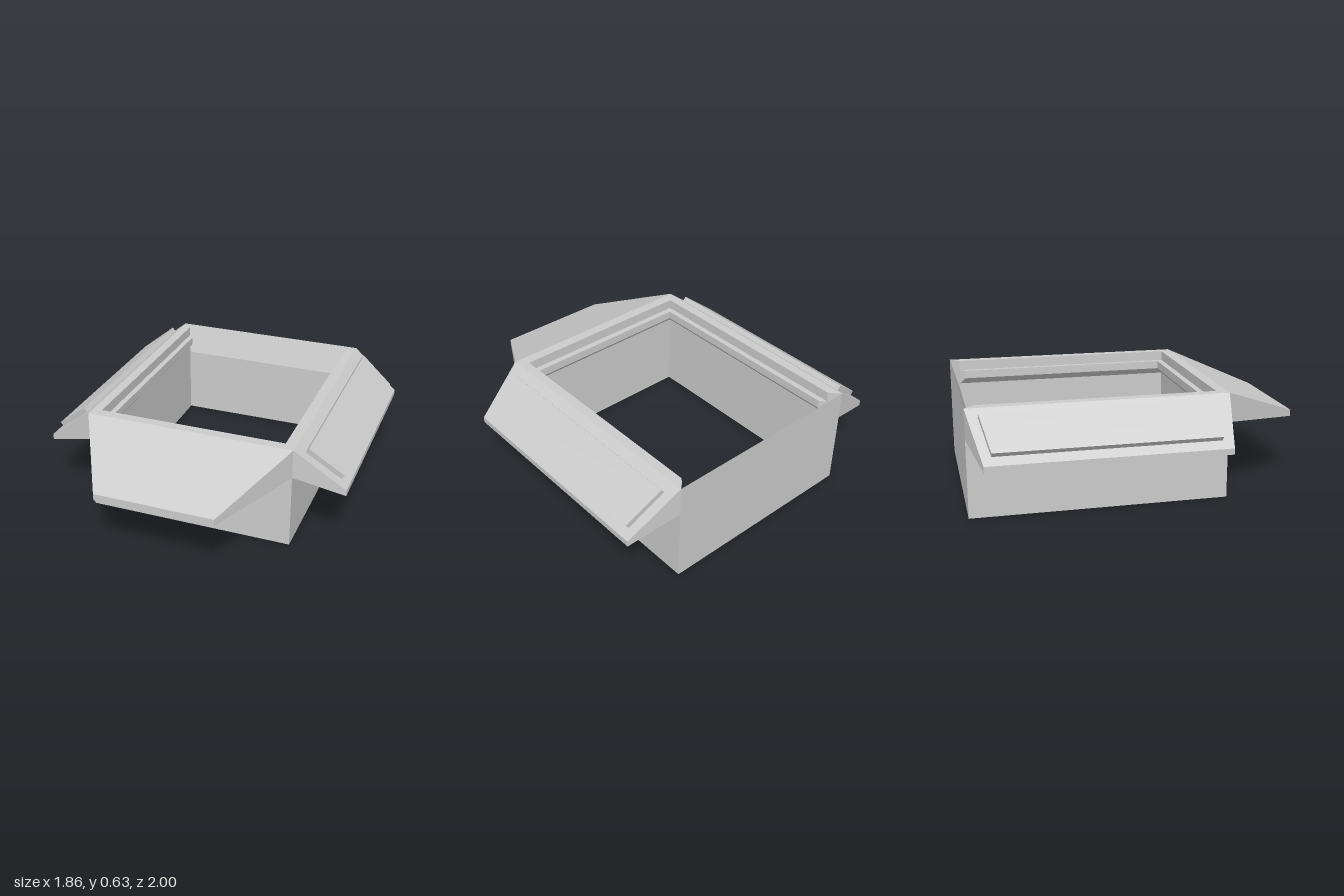
import * as THREE from 'three';

const material = new THREE.MeshStandardMaterial({ color: 0xcccccc, flatShading: true });
const SQUARE = [[0, 0], [1, 0], [1, 1], [0, 1]];

// Solid between two matching rings of points; outline is their counter-clockwise 2D shape.
function loft(name, ringA, ringB, outline = SQUARE) {
  const tris = [];
  const n = ringA.length;
  for (let i = 0; i < n; i++) {
    const j = (i + 1) % n;
    tris.push([ringA[i], ringA[j], ringB[j]], [ringA[i], ringB[j], ringB[i]]);
  }
  const caps = THREE.ShapeUtils.triangulateShape(outline.map(p => new THREE.Vector2(...p)), []);
  for (const [a, b, c] of caps) {
    tris.push([ringA[c], ringA[b], ringA[a]], [ringB[a], ringB[b], ringB[c]]);
  }
  // Turn the faces outward when the signed volume is negative.
  const v = p => new THREE.Vector3(...p);
  const volume = tris.reduce((sum, [a, b, c]) => sum + v(a).dot(v(b).cross(v(c))), 0);
  if (volume < 0) tris.forEach(t => t.reverse());
  const geometry = new THREE.BufferGeometry();
  geometry.setAttribute('position', new THREE.Float32BufferAttribute(tris.flat(2), 3));
  geometry.computeVertexNormals();
  const mesh = new THREE.Mesh(geometry, material);
  mesh.name = name;
  return mesh;
}

export function createModel() {
  const group = new THREE.Group();
  group.name = 'openFrame';
  const X = 0.63, FRONT = 0.5, BACK = -1, TOP = 0.63;

  // Wall sections as [inset from the outside, height]
  const lipped = [[0, 0], [0.058, 0], [0.058, 0.48], [0.092, 0.52], [0.092, 0.57],
    [0.058, 0.57], [0.058, TOP], [0, TOP]];
  const bevelled = [[0, 0], [0.056, 0], [0.056, 0.44], [0, TOP]];

  // Mitred corner of a section
  const corner = (section, sx, front) =>
    section.map(([d, y]) => [sx * (X - d), y, front ? FRONT - d * 1.08 : BACK + d]);

  // Four walls around the opening
  group.add(loft('frontWall', corner(lipped, -1, true), corner(lipped, 1, true), lipped));
  group.add(loft('backWall', corner(bevelled, -1, false), corner(bevelled, 1, false), bevelled));

  // Sloping front flap
  group.add(loft('frontFlap',
    [[-X, 0.455, FRONT], [X, 0.455, FRONT], [X, TOP, FRONT], [-X, TOP, FRONT]],
    [[-0.355, 0.385, 1], [0.355, 0.385, 1], [0.355, 0.425, 1], [-0.355, 0.425, 1]]));

  for (const [side, s] of [['left', 1], ['right', -1]]) {
    group.add(loft(side + 'Wall', corner(lipped, s, false), corner(lipped, s, true), lipped));

    // Sloping side flap
    group.add(loft(side + 'Flap',
      [[s * X, 0.455, BACK], [s * X, 0.455, FRONT], [s * X, TOP, FRONT], [s * X, TOP, BACK]],
      [[s * 0.928, 0.36, -0.93], [s * 0.928, 0.36, 0.43],
        [s * 0.928, 0.395, 0.43], [s * 0.928, 0.395, -0.93]]));

    // Raised panel lying on the flap
    const panel = (dx, dy) => [
      [s * (0.68 + dx), 0.59 + dy, -0.93], [s * (0.68 + dx), 0.59 + dy, 0.425],
      [s * (0.882 + dx), 0.431 + dy, 0.375], [s * (0.882 + dx), 0.431 + dy, -0.885]];
    group.add(loft(side + 'FlapPanel', panel(0, 0), panel(0.019, 0.025)));
  }
  return group;
}
